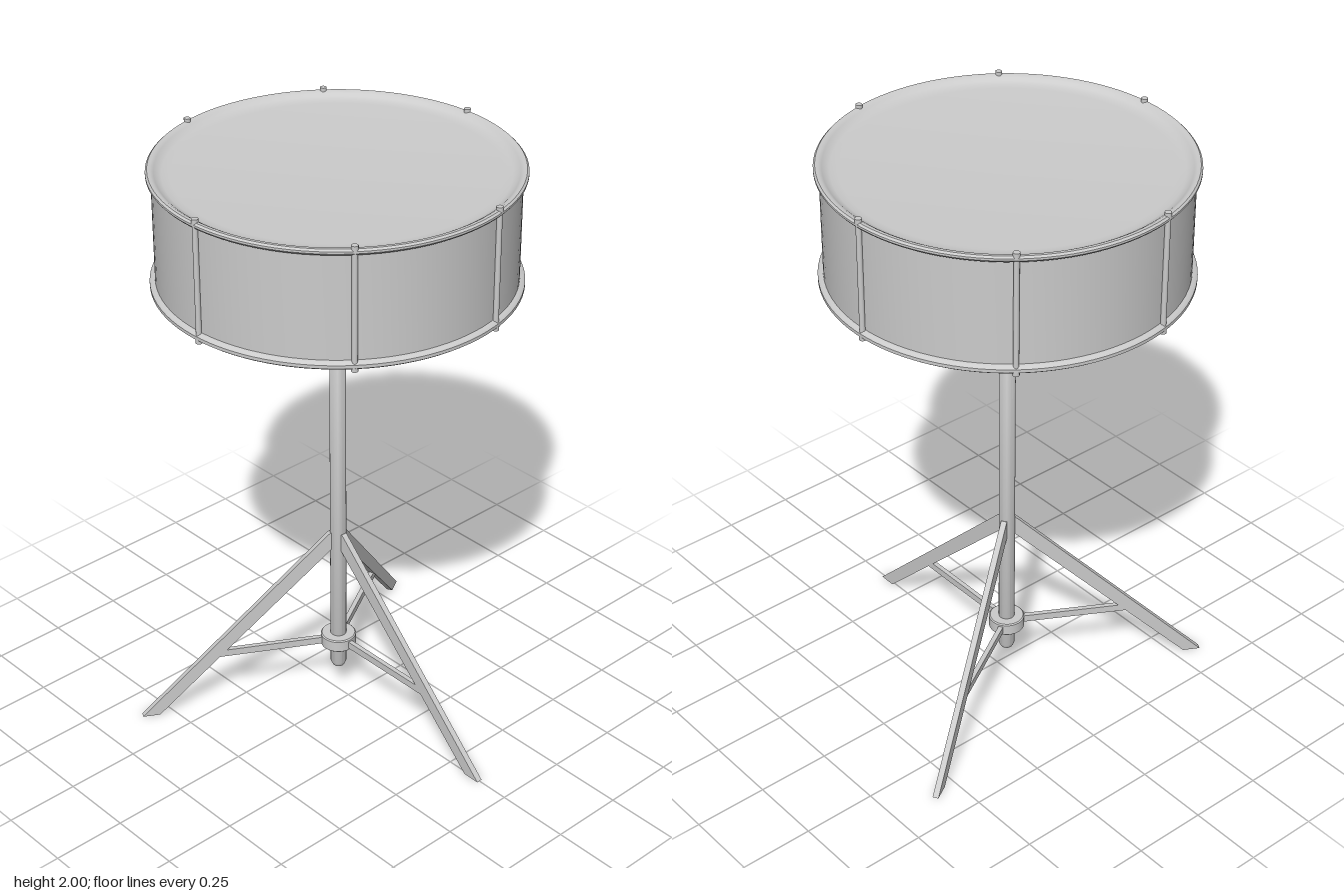
import * as THREE from 'three';
import { toCreasedNormals } from 'three/addons/utils/BufferGeometryUtils.js';

const material = new THREE.MeshStandardMaterial({ color: 0xcccccc });
const AXIS_Z = -0.05; // the drum and stand share this vertical axis

function add(parent, name, geometry) {
  const mesh = new THREE.Mesh(geometry, material);
  mesh.name = name;
  parent.add(mesh);
  return mesh;
}

// Turned part from [radius, height] points, running upwards on the outside
function turned(points, segments) {
  const profile = points.map(([r, y]) => new THREE.Vector2(r, y));
  return toCreasedNormals(new THREE.LatheGeometry(profile, segments), 0.6);
}

// Flat bar cut from a [radius, height] outline, centred on its thickness
function plate(points, thickness) {
  const shape = new THREE.Shape(points.map(([r, y]) => new THREE.Vector2(r, y)));
  const geometry = new THREE.ExtrudeGeometry(shape, { depth: thickness, bevelEnabled: false });
  return geometry.translate(0, 0, -thickness / 2);
}

// Level bar reaching outwards from the pole
function levelBar(r0, r1, y, height, thickness) {
  return new THREE.BoxGeometry(r1 - r0, height, thickness).translate((r0 + r1) / 2, y, 0);
}

// Group whose +x points outwards at an angle measured from +x towards +z
function spoke(parent, name, degrees) {
  const group = new THREE.Group();
  group.name = name;
  group.rotation.y = -THREE.MathUtils.degToRad(degrees);
  parent.add(group);
  return group;
}

export function createModel() {
  const model = new THREE.Group();
  model.name = 'drumOnStand';
  model.position.z = AXIS_Z;

  // Drum: shell, slightly recessed heads and rounded hoops
  const drum = new THREE.Group();
  drum.name = 'drum';
  model.add(drum);
  add(drum, 'shell', turned([[0.568, 1.61], [0.568, 1.98]], 96));
  add(drum, 'topHeadAndHoop', turned([
    [0.568, 1.966], [0.578, 1.97], [0.584, 1.977], [0.584, 1.984], [0.578, 1.99],
    [0.568, 1.99], [0.558, 1.984], [0.55, 1.977], [0.535, 1.972], [0.51, 1.97], [0, 1.97],
  ], 96));
  add(drum, 'bottomHeadAndHoop', turned([
    [0, 1.606], [0.545, 1.606], [0.555, 1.602], [0.565, 1.598], [0.577, 1.598],
    [0.585, 1.604], [0.585, 1.615], [0.578, 1.622], [0.568, 1.624],
  ], 96));

  // Tension rods with small end nuts
  for (const degrees of [-103, -52, -1.3, 76.5, 127.5, 178.5]) {
    const rod = spoke(drum, 'tensionRod', degrees);
    add(rod, 'rod', new THREE.CylinderGeometry(0.009, 0.009, 0.4, 12).translate(0.574, 1.795, 0));
    for (const y of [1.6, 1.99]) {
      add(rod, 'nut', new THREE.CylinderGeometry(0.011, 0.011, 0.02, 12).translate(0.574, y, 0));
    }
  }

  // Pole with a tapered foot, and the sliding collar
  add(model, 'pole', turned([
    [0, 0.11], [0.02, 0.11], [0.027, 0.125], [0.027, 1.58], [0.023, 1.587], [0, 1.587],
  ], 24));
  add(model, 'collar', turned([
    [0.025, 0.197], [0.056, 0.197], [0.06, 0.201], [0.06, 0.239], [0.056, 0.243], [0.025, 0.243],
  ], 32));

  // Tripod legs and their braces
  for (const degrees of [90, 210, 330]) {
    const leg = spoke(model, 'tripodLeg', degrees);
    add(leg, 'leg', plate(
      [[0.015, 0.6], [0.627, 0], [0.686, 0], [0.035, 0.65], [0.028, 0.655], [0.015, 0.655]], 0.02));
    add(leg, 'brace', levelBar(0.04, 0.425, 0.22, 0.025, 0.016));
  }

  // Cradle arms under the drum and their braces
  for (const degrees of [188.4, 308.4, 68.4]) {
    const arm = spoke(model, 'cradleArm', degrees);
    add(arm, 'arm', plate(
      [[0.015, 1.355], [0.025, 1.355], [0.278, 1.603], [0.243, 1.603], [0.015, 1.38]], 0.016));
    add(arm, 'brace', levelBar(0.01, 0.225, 1.566, 0.014, 0.014));
  }

  return model;
}
